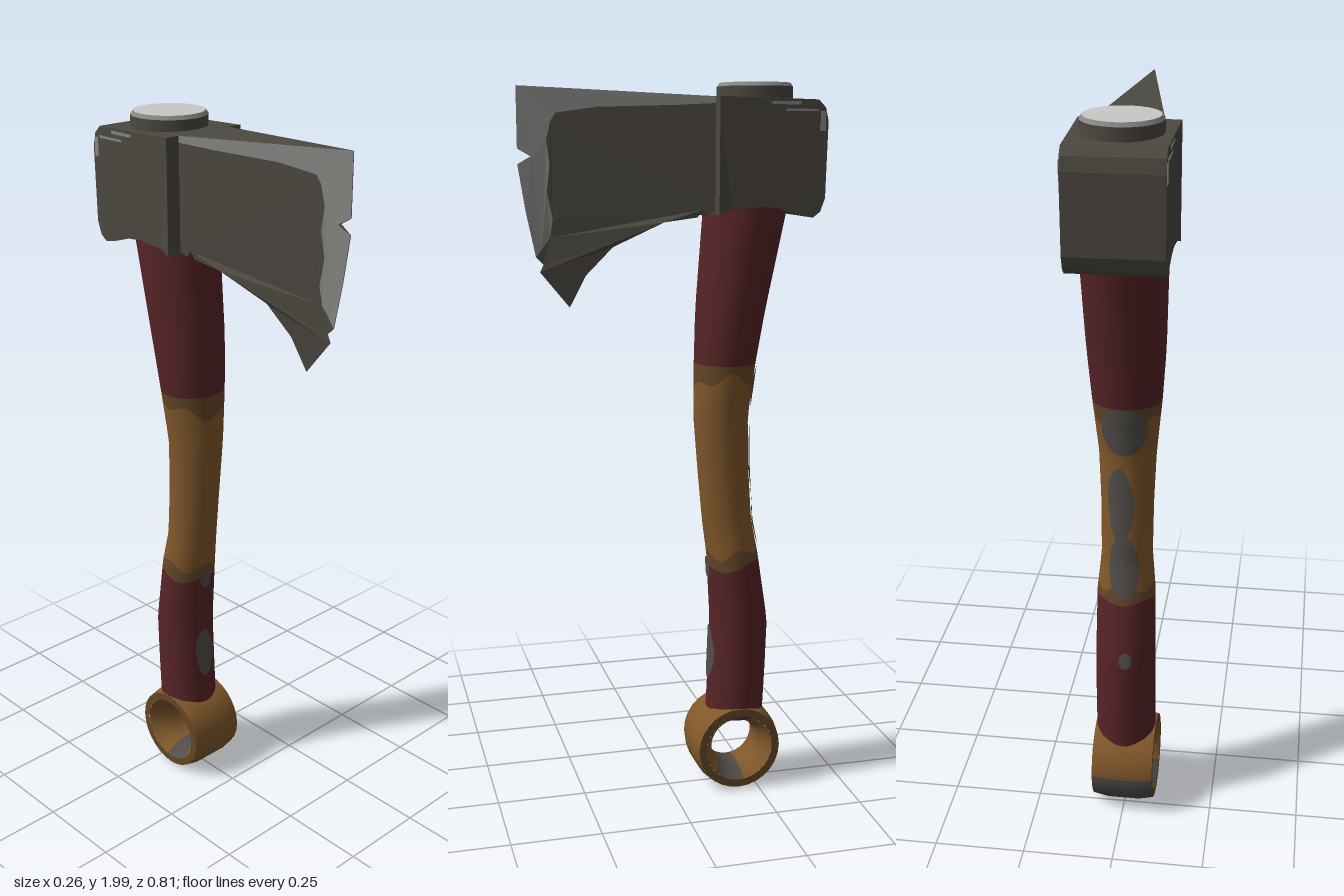
import * as THREE from 'three';

const mat = (name, color) => {
  const m = new THREE.MeshStandardMaterial({ color });
  m.name = name;
  return m;
};
const iron = mat('dark iron', 0x4c4841);
const steel = mat('bare steel', 0x868683);
const cap = mat('bright cap', 0xc8c8c6);
const red = mat('red wrap', 0x572426);
const gold = mat('golden wood', 0x80572a);
const trim = mat('brown trim', 0x624627);
const worn = mat('worn grey', 0x514d49);

// Handle sections: height, centre z, half width, half depth
const SECTIONS = [
  [0.22, -0.197, 0.084, 0.083], [0.35, -0.203, 0.084, 0.083], [0.5, -0.208, 0.083, 0.083],
  [0.7, -0.187, 0.08, 0.073], [0.8, -0.17, 0.07, 0.07], [0.95, -0.158, 0.071, 0.072],
  [1.1, -0.15, 0.077, 0.076], [1.25, -0.16, 0.092, 0.085], [1.4, -0.175, 0.103, 0.096],
  [1.68, -0.215, 0.113, 0.115], [1.97, -0.238, 0.1, 0.1],
];

// Point on the handle surface; angle 0 faces the front
function handlePoint(y, angle, lift = 0) {
  let i = 0;
  while (i < SECTIONS.length - 2 && y > SECTIONS[i + 1][0]) i++;
  const a = SECTIONS[i], b = SECTIONS[i + 1];
  const k = (y - a[0]) / (b[0] - a[0]);
  const [zc, rx, rz] = [1, 2, 3].map((j) => THREE.MathUtils.lerp(a[j], b[j], k));
  return [(rx + lift) * Math.sin(angle), y, zc + (rz + lift) * Math.cos(angle)];
}

// Closed-loop surface from a grid of points, wrapping in the column direction
function loopSurface(rows, cols, point) {
  const pos = [], idx = [];
  for (let r = 0; r <= rows; r++) {
    for (let c = 0; c < cols; c++) pos.push(...point(r / rows, (c / cols) * Math.PI * 2));
  }
  for (let r = 0; r < rows; r++) {
    for (let c = 0; c < cols; c++) {
      const a = r * cols + c, b = r * cols + ((c + 1) % cols);
      idx.push(a, b, b + cols, a, b + cols, a + cols);
    }
  }
  const g = new THREE.BufferGeometry();
  g.setAttribute('position', new THREE.Float32BufferAttribute(pos, 3));
  g.setIndex(idx);
  g.computeVertexNormals();
  return g;
}

// Side outline (z, y) given a thickness that varies over the plate
function plate(outline, halfWidth) {
  const shape = new THREE.Shape(outline.map(([z, y]) => new THREE.Vector2(z, y)));
  const g = new THREE.ExtrudeGeometry(shape, { depth: 1, bevelEnabled: false });
  g.rotateY(-Math.PI / 2);
  const p = g.attributes.position;
  for (let i = 0; i < p.count; i++) {
    p.setX(i, (p.getX(i) + 0.5) * 2 * halfWidth(p.getZ(i), p.getY(i)));
  }
  g.computeVertexNormals();
  return g;
}

export function createModel() {
  const model = new THREE.Group();
  model.name = 'axe';
  const add = (name, geometry, material, parent = model) => {
    const m = new THREE.Mesh(geometry, material);
    m.name = name;
    parent.add(m);
    return m;
  };

  // Handle bands with uneven paint borders
  const handle = new THREE.Group();
  handle.name = 'handle';
  model.add(handle);
  const borders = [
    () => 0.22,
    (a) => 0.675 - 0.012 * Math.cos(a) + 0.008 * Math.cos(3 * a),
    (a) => 0.715 - 0.014 * Math.cos(a) + 0.012 * Math.cos(4 * a),
    (a) => 1.205 - 0.016 * Math.cos(2 * a) + 0.012 * Math.sin(5 * a),
    () => 1.252,
    () => 1.97,
  ];
  [['lowerGrip', red], ['lowerTrim', trim], ['middleGrip', gold], ['upperTrim', trim], ['upperGrip', red]]
    .forEach(([name, material], i) => {
      add(name, loopSurface(12, 32, (t, a) =>
        handlePoint(THREE.MathUtils.lerp(borders[i](a), borders[i + 1](a), t), a)), material, handle);
    });

  // Worn patches: centre angle, centre height, half angle, half height, pinch
  [
    [0, 0.41, 0.42, 0.08, 0.25], [0, 0.665, 0.25, 0.03, 0],
    [Math.PI, 1.185, 0.75, 0.07, 0.1], [Math.PI - 0.15, 0.97, 0.5, 0.11, 0.2],
    [Math.PI, 0.79, 0.6, 0.09, 0.15], [Math.PI + 0.1, 0.52, 0.2, 0.025, 0],
  ].forEach(([a0, y0, da, dy, pinch]) => {
    add('wornPatch', loopSurface(4, 24, (t, u) => {
      const s = 1 - t;
      const w = 1 - pinch * Math.abs(Math.sin(u + 0.5)) ** 3 + pinch * 0.3 * Math.cos(3 * u);
      return handlePoint(y0 + dy * s * Math.sin(u), a0 + da * s * w * Math.cos(u), 0.004);
    }), worn, handle);
  });

  // Pommel ring, turned about the x axis
  const ring = new THREE.Group();
  ring.name = 'pommelRing';
  ring.position.set(0, 0.135, -0.19);
  model.add(ring);
  const turn = (name, profile, material, start = 0, length = Math.PI * 2) => {
    const pts = profile.map(([r, x]) => new THREE.Vector2(r, x));
    const segments = Math.max(6, Math.round((length / (Math.PI * 2)) * 28));
    const g = new THREE.LatheGeometry(pts, segments, start, length);
    add(name, g.rotateZ(Math.PI / 2), material, ring);
  };
  const rim = [[0.12, -0.086], [0.128, -0.045], [0.128, 0.045], [0.12, 0.086]];
  const greyStart = Math.PI * 1.0, greyEnd = Math.PI * 1.78;
  turn('ringOutside', rim, gold, greyEnd, Math.PI * 2 - (greyEnd - greyStart));
  turn('ringOutsideWorn', rim, worn, greyStart, greyEnd - greyStart);
  turn('ringSide', [[0.12, 0.086], [0.098, 0.086]], trim);
  turn('ringSide', [[0.098, -0.086], [0.12, -0.086]], trim);
  const bore = [[0.098, 0.086], [0.074, 0.05], [0.068, 0.02], [0.068, -0.02], [0.074, -0.05], [0.098, -0.086]];
  const boreStart = Math.PI * 1.45, boreEnd = Math.PI * 1.75;
  turn('ringBore', bore, gold, boreEnd, Math.PI * 2 - (boreEnd - boreStart));
  turn('ringBoreWorn', bore, worn, boreStart, boreEnd - boreStart);

  // Head block around the handle, with a slight lip at the front
  add('headBlock', plate([
    [-0.105, 1.66], [-0.105, 1.962], [-0.14, 1.962], [-0.375, 1.955], [-0.395, 1.935], [-0.403, 1.9],
    [-0.398, 1.7], [-0.385, 1.665], [-0.365, 1.65], [-0.325, 1.658], [-0.27, 1.675], [-0.22, 1.68], [-0.14, 1.672],
  ], (z) => (z > -0.12 ? 0.128 : 0.123)), iron);

  // Scuffs along the upper edge of the block
  for (const side of [-1, 1]) {
    [[-0.24, 1.946, 0.17, 0.008], [-0.33, 1.928, 0.09, 0.006], [-0.388, 1.9, 0.014, 0.05]].forEach(([z, y, l, h]) => {
      add('scuff', new THREE.BoxGeometry(0.004, h, l), steel).position.set(side * 0.1235, y, z);
    });
  }

  // Wedge blade that thins to nothing at the cutting edge
  const wedge = (z, y) => {
    const edge = 0.405 - 0.36 * Math.max(0, 1.79 - y);
    const swell = y < 1.66 && z > 0 && z < 0.1 ? 1.2 : 1;
    return Math.max(0.001, (swell * 0.087 * (edge - z)) / (edge + 0.11));
  };
  const inner = [
    [-0.11, 1.945], [0.0, 1.94], [0.2, 1.935], [0.305, 1.92], [0.318, 1.9], [0.33, 1.85], [0.322, 1.79], [0.33, 1.72],
    [0.315, 1.65], [0.322, 1.6], [0.345, 1.57], [0.36, 1.55],
  ];
  add('bladeBody', plate([
    ...inner, [0.34, 1.53], [0.35, 1.51], [0.272, 1.415], [0.23, 1.5], [0.16, 1.575], [0.03, 1.64],
    [-0.06, 1.652], [-0.072, 1.672], [-0.084, 1.655], [-0.11, 1.67],
  ].reverse(), wedge), iron);
  add('bladeEdge', plate([
    ...inner, [0.385, 1.67], [0.404, 1.79], [0.368, 1.81], [0.404, 1.83], [0.404, 1.988], [-0.11, 1.962],
  ], wedge), [steel, iron]);

  // Handle end showing through the head
  const top = new THREE.Group();
  top.name = 'handleCap';
  top.position.z = -0.238;
  model.add(top);
  add('capSide', new THREE.CylinderGeometry(0.102, 0.102, 0.045, 20, 1, true), iron, top).position.y = 1.9675;
  add('capBevel', new THREE.CylinderGeometry(0.095, 0.102, 0.01, 20, 1, true), steel, top).position.y = 1.995;
  add('capFace', new THREE.CircleGeometry(0.095, 20).rotateX(-Math.PI / 2), cap, top).position.y = 2;

  return model;
}
